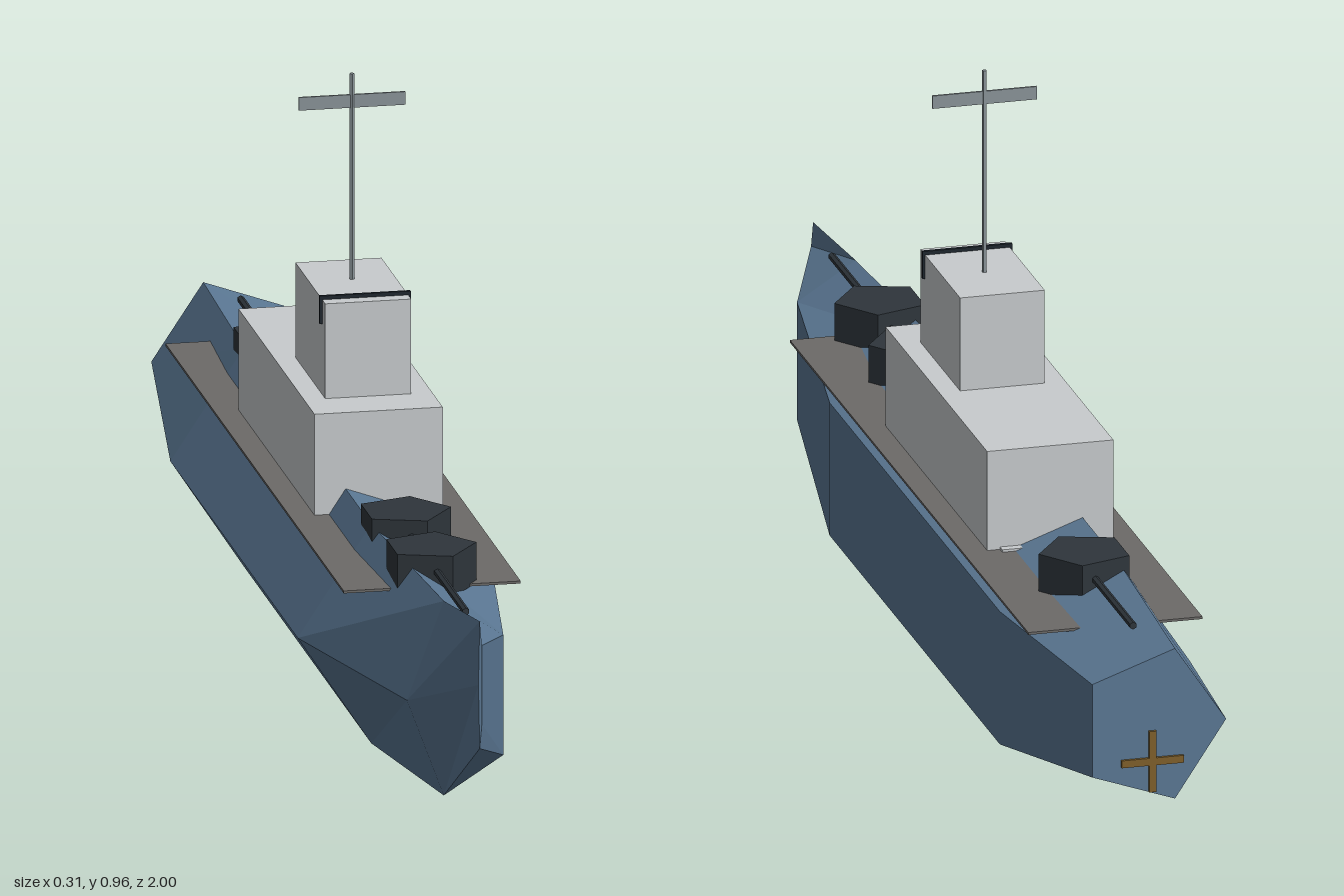
import * as THREE from 'three';

const CX = 0.0136; // keel line; the five-sided hull is off centre by this much

const paint = (name, color) => {
  const m = new THREE.MeshStandardMaterial({ color });
  m.name = name;
  return m;
};

// Five-sided hull lofted through elliptical stations: [z, centre y, radius x, radius y]
function hullGeometry() {
  const stations = [
    [0.998, 0.265, 0.003, 0.108],
    [0.84, 0.2, 0.0843, 0.165],
    [0.4, 0.18, 0.1686, 0.186],
    [-0.6, 0.18, 0.1686, 0.186],
    [-0.996, 0.225, 0.119, 0.13],
  ];
  const sides = 5, pos = [];
  const point = (s, i) => {
    const [z, cy, rx, ry] = stations[s];
    const a = Math.PI / 5 + (i * Math.PI * 2) / sides;
    return [CX + rx * Math.cos(a), cy + ry * Math.sin(a), z];
  };
  const tri = (...points) => points.forEach((p) => pos.push(...p));
  const last = stations.length - 1;
  for (let i = 0; i < sides; i++) {
    for (let s = 0; s < last; s++) {
      const a = point(s, i), b = point(s + 1, i);
      const c = point(s + 1, i + 1), d = point(s, i + 1);
      tri(a, b, c);
      tri(a, c, d);
    }
    // Bow and stern caps
    tri([CX, stations[0][1], stations[0][0]], point(0, i), point(0, i + 1));
    tri([CX, stations[last][1], stations[last][0]], point(last, i + 1), point(last, i));
  }
  const g = new THREE.BufferGeometry();
  g.setAttribute('position', new THREE.Float32BufferAttribute(pos, 3));
  g.computeVertexNormals();
  return g;
}

export function createModel() {
  const ship = new THREE.Group();
  ship.name = 'ship';

  const hullBlue = paint('hull blue', 0x5b7894);
  const deckGrey = paint('deck grey', 0x6c6a68);
  const houseGrey = paint('superstructure grey', 0xc8ccce);
  const gunDark = paint('gun dark', 0x2e353b);
  const glassDark = paint('window dark', 0x1c242c);
  const mastGrey = paint('mast grey', 0x8a9499);
  const bronze = paint('propeller bronze', 0x80602a);
  [gunDark, mastGrey].forEach((m) => { m.flatShading = true; });

  const add = (name, geometry, material, x, y, z, parent = ship) => {
    const mesh = new THREE.Mesh(geometry, material);
    mesh.name = name;
    mesh.position.set(x, y, z);
    parent.add(mesh);
    return mesh;
  };
  // Box given by width, y range and z range, centred on the keel line
  const block = (name, material, w, y0, y1, z0, z1) =>
    add(name, new THREE.BoxGeometry(w, y1 - y0, z1 - z0), material, CX, (y0 + y1) / 2, (z0 + z1) / 2);

  add('hull', hullGeometry(), hullBlue, 0, 0, 0);
  block('deck', deckGrey, 0.28, 0.313, 0.317, -0.78, 0.62);

  // Superstructure
  block('deckhouse', houseGrey, 0.203, 0.315, 0.48, -0.398, 0.199);
  block('deckhouseStep', houseGrey, 0.162, 0.308, 0.321, -0.412, -0.38);
  block('bridge', houseGrey, 0.136, 0.48, 0.633, -0.117, 0.117);
  block('bridgeWindow', glassDark, 0.144, 0.594, 0.639, 0.088, 0.094);

  // Mast and yard
  add('mast', new THREE.CylinderGeometry(0.004, 0.004, 0.335, 5), mastGrey, CX, 0.7975, -0.011);
  block('yard', mastGrey, 0.168, 0.91, 0.931, -0.013, -0.009);

  // Gun turrets: [z, direction of the barrel]
  for (const [z, dir] of [[0.6, 1], [0.4, 1], [-0.6, -1]]) {
    const turret = new THREE.Group();
    turret.name = 'turret';
    turret.position.set(CX, 0, z);
    ship.add(turret);
    add('turretHouse', new THREE.CylinderGeometry(0.074, 0.074, 0.066, 5, 1, false, Math.PI / 2),
      gunDark, 0, 0.345, 0, turret);
    add('barrel', new THREE.CylinderGeometry(0.006, 0.006, 0.285, 6), gunDark, 0, 0.351, dir * 0.1425, turret)
      .rotation.x = Math.PI / 2;
  }

  // Crossed propeller blades on the stern
  const propeller = new THREE.Group();
  propeller.name = 'propeller';
  propeller.position.set(CX, 0.167, -0.998);
  ship.add(propeller);
  for (const turn of [0, Math.PI / 2]) {
    add('blade', new THREE.BoxGeometry(0.1, 0.012, 0.006), bronze, 0, 0, 0, propeller).rotation.z = turn;
  }
  return ship;
}
